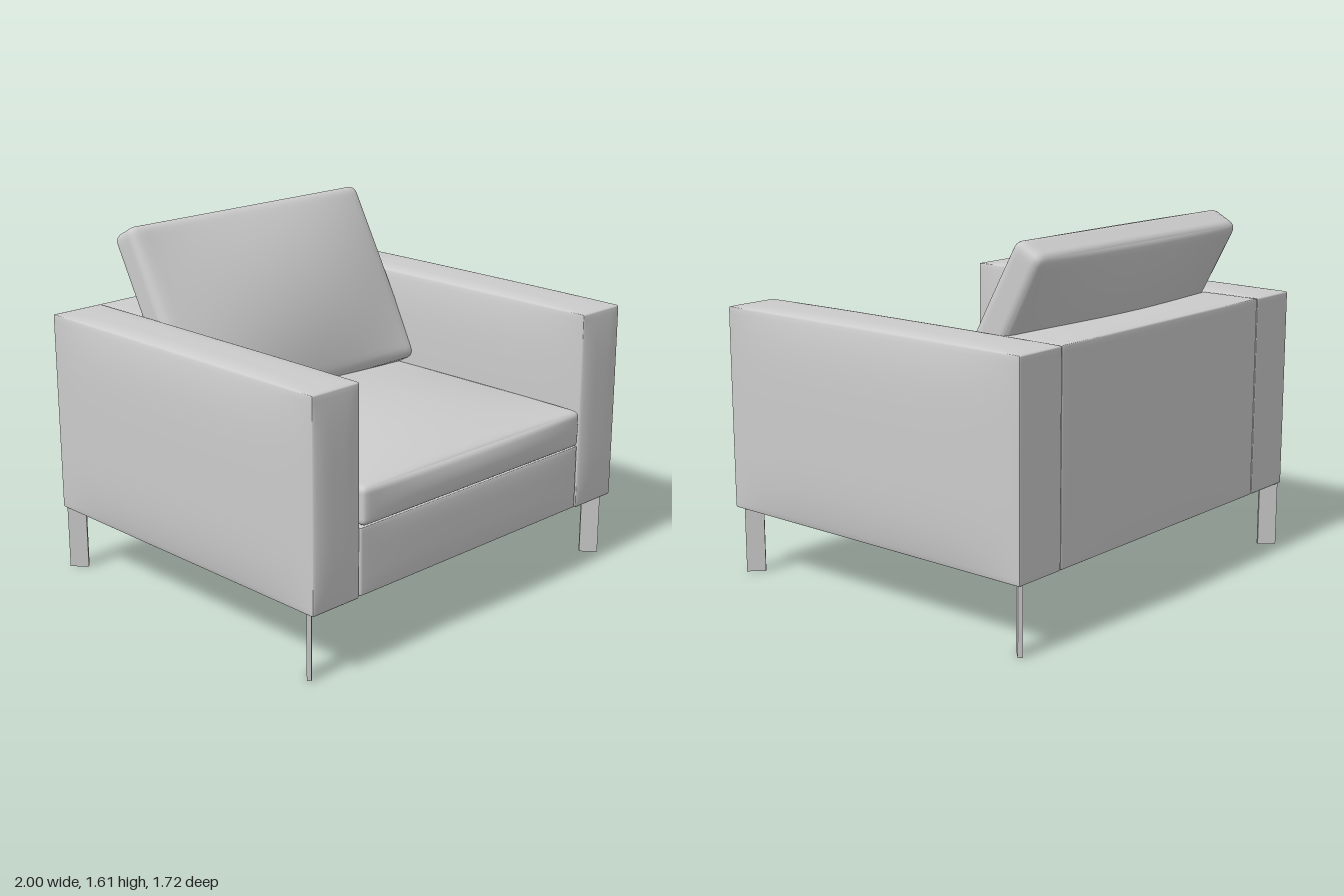
import * as THREE from 'three';
import { mergeVertices } from 'three/addons/utils/BufferGeometryUtils.js';

const material = new THREE.MeshStandardMaterial({ color: 0xcccccc });

// Upholstered block: a box with rounded edges whose faces swell outwards.
// bulge holds [negative side, positive side] for x, y and z.
function paddedBlock(size, radius, bulge, power, segments) {
  const box = new THREE.BoxGeometry(2, 2, 2, segments, segments, segments);
  box.deleteAttribute('uv');
  box.deleteAttribute('normal');
  const geometry = mergeVertices(box);
  const half = size.map((s) => s / 2);
  const pos = geometry.attributes.position;
  const offset = new THREE.Vector3();
  for (let i = 0; i < pos.count; i++) {
    // Crowd the grid lines towards the edges
    const t = [pos.getX(i), pos.getY(i), pos.getZ(i)].map((v) => Math.sin((v * Math.PI) / 2));
    const p = t.map((v, k) => v * half[k]);
    // Round the edges
    const core = p.map((v, k) => THREE.MathUtils.clamp(v, radius - half[k], half[k] - radius));
    offset.set(p[0] - core[0], p[1] - core[1], p[2] - core[2]);
    if (offset.length() > 1e-6) offset.setLength(radius);
    const rounded = [core[0] + offset.x, core[1] + offset.y, core[2] + offset.z];
    // Swell each face, fading out at its borders
    const fade = t.map((v) => 1 - Math.pow(Math.abs(v), power));
    const out = rounded.map((v, k) => {
      const amount = bulge[k][t[k] > 0 ? 1 : 0];
      return v + amount * t[k] * fade[(k + 1) % 3] * fade[(k + 2) % 3];
    });
    pos.setXYZ(i, ...out);
  }
  geometry.computeVertexNormals();
  return geometry;
}

function addPart(parent, name, geometry, x, y, z) {
  const mesh = new THREE.Mesh(geometry, material);
  mesh.name = name;
  mesh.position.set(x, y, z);
  parent.add(mesh);
  return mesh;
}

export function createModel() {
  const chair = new THREE.Group();
  chair.name = 'armchair';

  // Arms, running the full depth
  const arm = paddedBlock([0.26, 0.925, 1.68], 0.007, [[0.03, 0.03], [0, 0.015], [0, 0.015]], 4, 18);
  addPart(chair, 'leftArm', arm, 0.84, 0.7625, -0.02);
  addPart(chair, 'rightArm', arm, -0.84, 0.7625, -0.02);

  // Back between the arms
  const back = paddedBlock([1.418, 0.925, 0.33], 0.007, [[0, 0], [0, 0.012], [0.005, 0]], 4, 18);
  addPart(chair, 'backFrame', back, 0, 0.7625, -0.694);

  // Seat base and cushion
  const base = paddedBlock([1.408, 0.302, 1.35], 0.007, [[0, 0], [0, 0], [0, 0.008]], 4, 16);
  addPart(chair, 'seatBase', base, 0, 0.456, 0.145);
  const seat = paddedBlock([1.4, 0.172, 1.36], 0.028, [[0, 0], [0, 0.073], [0, 0.022]], 2, 28);
  addPart(chair, 'seatCushion', seat, 0, 0.695, 0.155);

  // Leaning back cushion
  const cushion = paddedBlock([1.42, 0.9, 0.155], 0.04, [[0, 0], [0, 0], [0.07, 0.095]], 2, 28);
  addPart(chair, 'backCushion', cushion, 0, 1.194, -0.468).rotation.x = -THREE.MathUtils.degToRad(28.5);

  // Flat legs set diagonally under the corners
  const leg = new THREE.BoxGeometry(0.086, 0.305, 0.02);
  for (const side of [1, -1]) {
    const end = side > 0 ? 'left' : 'right';
    addPart(chair, end + 'FrontLeg', leg, side * 0.9225, 0.1525, 0.7475).rotation.y = (-side * Math.PI) / 4;
    addPart(chair, end + 'BackLeg', leg, side * 0.9225, 0.1525, -0.82).rotation.y = (side * Math.PI) / 4;
  }
  return chair;
}
